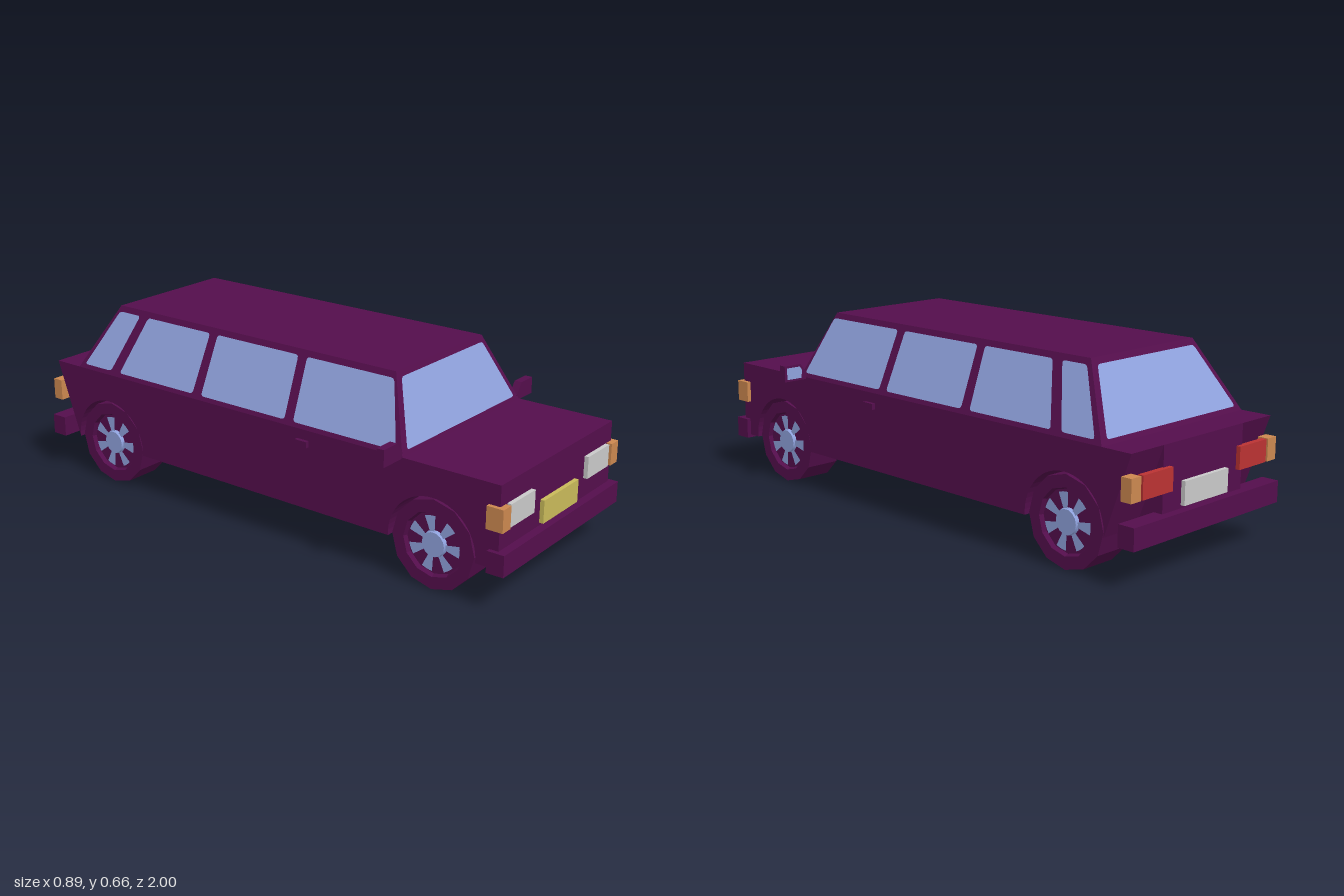
import * as THREE from 'three';

const material = (name, color, side = THREE.FrontSide) =>
  Object.assign(new THREE.MeshStandardMaterial({ color, side }), { name });

export function createModel() {
  const paint = material('plum paint', 0x540e4c);
  const glass = material('blue glass', 0x8fa2dd, THREE.DoubleSide);
  const white = material('white lamp', 0xc9c9c9);
  const yellow = material('yellow plate', 0xc9ba5a);
  const orange = material('orange lamp', 0xcc8850);
  const red = material('red lamp', 0xbb3333);

  const car = new THREE.Group();
  car.name = 'car';
  const add = (name, geometry, mat, parent = car) => {
    const mesh = new THREE.Mesh(geometry, mat);
    mesh.name = name;
    parent.add(mesh);
    return mesh;
  };
  // Box given by its limits on each axis
  const box = (name, mat, x0, x1, y0, y1, z0, z1) => {
    const mesh = add(name, new THREE.BoxGeometry(x1 - x0, y1 - y0, z1 - z0), mat);
    mesh.position.set((x0 + x1) / 2, (y0 + y1) / 2, (z0 + z1) / 2);
    return mesh;
  };
  const flat = (geometry) => {
    const g = geometry.toNonIndexed();
    g.computeVertexNormals();
    return g;
  };

  // Lower body: central box plus side panels with wheel arches cut out
  const AXLES = [-0.705, 0.725], WHEEL_Y = 0.155, ARCH = 0.165;
  const BELT = 0.425, HALF = 0.352, INNER = 0.2;
  box('centreBody', paint, -INNER, INNER, 0.145, BELT, -0.97, 0.97);
  const profile = new THREE.Shape().moveTo(-0.97, 0.145);
  for (const z of AXLES) profile.absarc(z, WHEEL_Y, ARCH, Math.PI + 0.06, -0.06, true);
  profile.lineTo(0.97, 0.145).lineTo(0.97, BELT).lineTo(-0.97, BELT).closePath();
  for (const side of [1, -1]) {
    const g = new THREE.ExtrudeGeometry(profile, {
      depth: HALF - INNER, bevelEnabled: false, curveSegments: 14,
    });
    g.rotateY(-Math.PI / 2).translate(side > 0 ? HALF : -INNER, 0, 0);
    add('sideBody', g, paint);
  }

  // Cabin: box tapered towards the roof
  const ROOF = 0.662, ROOF_HALF = 0.252;
  const FRONT = [0.61, 0.51], REAR = [-0.855, -0.72];
  const at = (pair, y) => pair[0] + (pair[1] - pair[0]) * (y - BELT) / (ROOF - BELT);
  const cabin = new THREE.BoxGeometry(1, 1, 1);
  const p = cabin.attributes.position;
  for (let i = 0; i < p.count; i++) {
    const y = p.getY(i) > 0 ? ROOF : BELT;
    p.setXYZ(i, Math.sign(p.getX(i)) * at([HALF, ROOF_HALF], y), y,
      at(p.getZ(i) > 0 ? FRONT : REAR, y));
  }
  cabin.computeVertexNormals();
  add('cabin', cabin, paint);

  // Window pane with softened corners, mapped onto a sloping cabin face
  const pane = (name, corners, place) => {
    const pts = corners.map(([u, y]) => new THREE.Vector2(u, y));
    const shape = new THREE.Shape();
    pts.forEach((c, i) => {
      const toward = (q) => q.clone().sub(c).setLength(0.012).add(c);
      const a = toward(pts[(i + 3) % 4]), b = toward(pts[(i + 1) % 4]);
      if (i) shape.lineTo(a.x, a.y); else shape.moveTo(a.x, a.y);
      shape.quadraticCurveTo(c.x, c.y, b.x, b.y);
    });
    const g = new THREE.ShapeGeometry(shape, 3);
    const v = g.attributes.position;
    for (let i = 0; i < v.count; i++) v.setXYZ(i, ...place(v.getX(i), v.getY(i)));
    g.computeVertexNormals();
    add(name, g, glass);
  };
  const LOW = 0.441, HIGH = 0.643, PROUD = 0.004;
  // Each side window: lower front, lower rear, upper rear, upper front (z)
  const sideWindows = [
    [0.583, 0.167, 0.16, 0.512],
    [0.13, -0.245, -0.237, 0.123],
    [-0.285, -0.645, -0.572, -0.272],
    [-0.69, -0.825, -0.715, -0.613],
  ];
  for (const side of [1, -1]) {
    for (const [a, b, c, d] of sideWindows) {
      pane('sideWindow', side > 0
        ? [[a, LOW], [b, LOW], [c, HIGH], [d, HIGH]]
        : [[d, HIGH], [c, HIGH], [b, LOW], [a, LOW]],
      (z, y) => [side * (at([HALF, ROOF_HALF], y) + PROUD), y, z]);
    }
  }
  const screen = [[-0.322, LOW], [0.322, LOW], [0.238, HIGH], [-0.238, HIGH]];
  pane('windscreen', screen, (x, y) => [x, y, at(FRONT, y) + PROUD]);
  pane('rearWindow', screen, (x, y) => [-x, y, at(REAR, y) - PROUD]);

  // Bumpers, lamps and number plates
  for (const end of [1, -1]) {
    const span = (a, b) => (end > 0 ? [a, b] : [-b, -a]);
    box('bumper', paint, -0.368, 0.368, 0.134, 0.208, ...span(0.938, 1));
    box('numberPlate', end > 0 ? yellow : white, -0.11, 0.11, 0.218, 0.297, ...span(0.965, 0.985));
    for (const side of [1, -1]) {
      const wide = (a, b) => (side > 0 ? [a, b] : [-b, -a]);
      box(end > 0 ? 'headlamp' : 'tailLamp', end > 0 ? white : red,
        ...wide(0.17, 0.313), 0.278, 0.355, ...span(0.965, 0.985));
      box('indicator', orange, ...wide(0.322, 0.367), 0.278, 0.355,
        ...(end > 0 ? [0.93, 0.99] : [-0.985, -0.945]));
    }
  }

  // Wheels: twelve-sided tyre with recessed face, hub cap and seven spokes
  const RADIUS = 0.155, WIDTH = 0.132;
  const tyre = flat(new THREE.LatheGeometry(
    [[0, 0], [RADIUS, 0], [RADIUS, WIDTH], [0.112, WIDTH], [0.106, WIDTH - 0.015], [0, WIDTH - 0.015]]
      .map(([r, h]) => new THREE.Vector2(r, h)), 12).rotateZ(-Math.PI / 2));
  const hub = new THREE.CylinderGeometry(0.042, 0.046, 0.014, 14).rotateZ(-Math.PI / 2);
  for (const z of AXLES) {
    for (const side of [1, -1]) {
      const wheel = new THREE.Group();
      wheel.name = 'wheel';
      wheel.position.set(side * 0.21, WHEEL_Y, z);
      if (side < 0) wheel.rotation.y = Math.PI;
      add('tyre', tyre, paint, wheel);
      add('hubCap', hub, glass, wheel).position.x = WIDTH - 0.009;
      for (let i = 0; i < 7; i++) {
        const spoke = new THREE.RingGeometry(0.04, 0.096, 4, 1, 1.55 + i * Math.PI * 2 / 7, 0.42);
        spoke.rotateY(Math.PI / 2);
        add('spoke', spoke, glass, wheel).position.x = WIDTH - 0.009;
      }
      car.add(wheel);
    }
  }

  // Door mirrors and handles
  for (const side of [1, -1]) {
    const outline = (pts) => new THREE.Shape(pts.map(([x, y]) => new THREE.Vector2(side * x, y)));
    const housing = new THREE.ExtrudeGeometry(
      outline([[0.345, 0.419], [0.446, 0.419], [0.446, 0.478], [0.374, 0.478], [0.345, 0.438]]),
      { depth: 0.028, bevelEnabled: false });
    add('mirrorHousing', housing, paint).position.z = 0.578;
    const face = new THREE.ShapeGeometry(
      outline([[0.375, 0.427], [0.438, 0.427], [0.438, 0.47], [0.38, 0.47], [0.37, 0.455]]));
    face.rotateY(Math.PI);
    face.scale(-1, 1, 1);
    add('mirrorGlass', face, glass).position.z = 0.575;
    box('doorHandle', paint, ...(side > 0 ? [0.345, 0.366] : [-0.366, -0.345]),
      0.368, 0.39, 0.187, 0.235);
  }
  return car;
}
